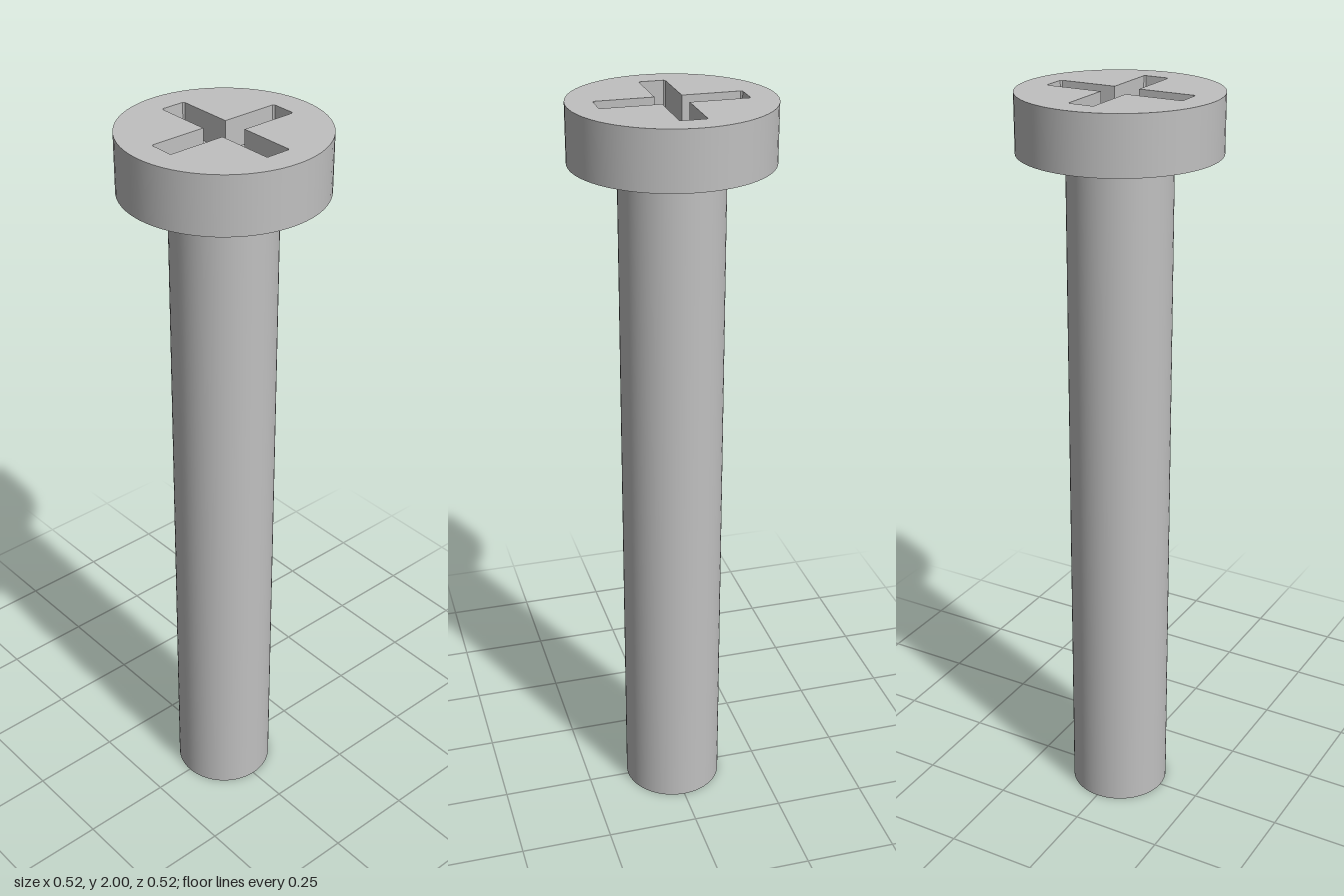
import * as THREE from 'three';

const HEAD_R = 0.258, SHAFT_R = 0.135, TOP = 2, HEAD_Y = 1.85;
const FLOOR_Y = 1.925, ARM = 0.187, HALF = 0.034, ROUND = 0.004, SIDES = 64;

// Outline of the cross slot, counter-clockwise, with slightly eased arm ends
function crossPoints() {
  const arm = [
    [ARM, -HALF + ROUND], [ARM, HALF - ROUND], [ARM - ROUND, HALF],
    [HALF, HALF], [HALF, ARM - ROUND], [HALF - ROUND, ARM],
  ];
  const points = [];
  for (let i = 0; i < 4; i++) {
    const c = [1, 0, -1, 0][i], s = [0, 1, 0, -1][i];
    // each arm contributes its end, far side and the inner corner
    for (const [x, y] of arm.slice(0, 4)) points.push(new THREE.Vector2(x * c - y * s, x * s + y * c));
    const [x, y] = arm[5];
    points.push(new THREE.Vector2(HALF * c - arm[4][1] * s, HALF * s + arm[4][1] * c));
    points.push(new THREE.Vector2(x * c - y * s, x * s + y * c));
  }
  // drop points shared by neighbouring arms
  return points.filter((p, i) => points.findIndex((q) => q.distanceTo(p) < 1e-5) === i);
}

// Flat shape laid horizontally, facing up
function flatFace(shape, y) {
  return new THREE.ShapeGeometry(shape, SIDES / 2).rotateX(-Math.PI / 2).translate(0, y, 0);
}

// Walls of the slot, facing its inside
function slotWalls(points) {
  const pos = [];
  points.forEach((a, i) => {
    const b = points[(i + 1) % points.length];
    const a0 = [a.x, FLOOR_Y, -a.y], a1 = [a.x, TOP, -a.y];
    const b0 = [b.x, FLOOR_Y, -b.y], b1 = [b.x, TOP, -b.y];
    pos.push(...a0, ...a1, ...b1, ...a0, ...b1, ...b0);
  });
  const geo = new THREE.BufferGeometry();
  geo.setAttribute('position', new THREE.Float32BufferAttribute(pos, 3));
  geo.computeVertexNormals();
  return geo;
}

export function createModel() {
  const model = new THREE.Group();
  model.name = 'machineScrew';
  const steel = new THREE.MeshStandardMaterial({ color: 0xc0c0c0 });
  steel.name = 'steel grey';

  const add = (name, geometry, parent = model) => {
    const mesh = new THREE.Mesh(geometry, steel);
    mesh.name = name;
    parent.add(mesh);
  };

  // Shaft with its flat end
  const shaft = new THREE.Group();
  shaft.name = 'shaft';
  model.add(shaft);
  add('shaftSide', new THREE.CylinderGeometry(SHAFT_R, SHAFT_R, HEAD_Y, SIDES, 1, true).translate(0, HEAD_Y / 2, 0), shaft);
  add('shaftEnd', new THREE.CircleGeometry(SHAFT_R, SIDES).rotateX(Math.PI / 2), shaft);

  // Head: side, underside and slotted top
  const head = new THREE.Group();
  head.name = 'head';
  model.add(head);
  add('headSide', new THREE.CylinderGeometry(HEAD_R, HEAD_R, TOP - HEAD_Y, SIDES, 1, true).translate(0, (TOP + HEAD_Y) / 2, 0), head);
  add('headUnderside', new THREE.RingGeometry(SHAFT_R, HEAD_R, SIDES).rotateX(Math.PI / 2).translate(0, HEAD_Y, 0), head);
  const cross = crossPoints();
  const disc = new THREE.Shape().absarc(0, 0, HEAD_R, 0, Math.PI * 2);
  disc.holes.push(new THREE.Path(cross));
  add('headTop', flatFace(disc, TOP), head);

  // Cross-shaped driver slot
  const slot = new THREE.Group();
  slot.name = 'crossSlot';
  head.add(slot);
  add('slotWalls', slotWalls(cross), slot);
  add('slotFloor', flatFace(new THREE.Shape(cross), FLOOR_Y), slot);

  return model;
}
